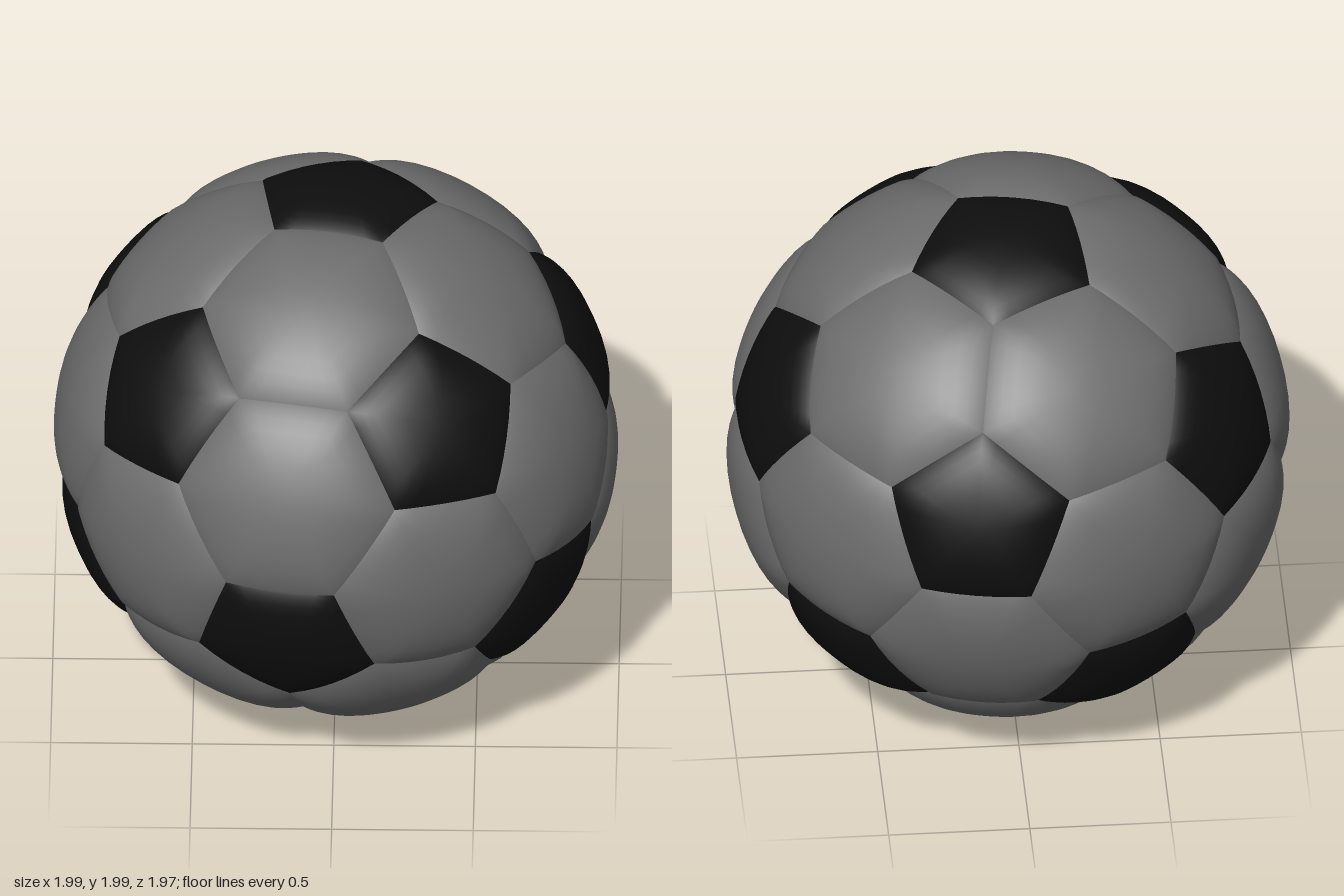
import * as THREE from 'three';

const SEAM = 0.967;  // radius at the seams
const BULGE = 0.033; // how far each panel swells above the seams
const RINGS = 8;
const SIDE_STEPS = 6;

// The twelve icosahedron corners, turned to the ball's resting attitude
function icosahedronCorners() {
  const axis = new THREE.Vector3(0.39, 0.573, 0.721).normalize();
  const side = new THREE.Vector3(-0.361, 1.8, -1.238).cross(axis).normalize();
  const up = axis.clone().cross(side);
  const frame = new THREE.Matrix4().makeBasis(side, up, axis);
  const h = 1 / Math.sqrt(5);
  const points = [new THREE.Vector3(0, 0, 1), new THREE.Vector3(0, 0, -1)];
  for (let i = 0; i < 5; i++) {
    const a = Math.PI / 2 + (i * Math.PI * 2) / 5;
    const ring = new THREE.Vector3(2 * h * Math.cos(a), 2 * h * Math.sin(a), h);
    points.push(ring, ring.clone().negate());
  }
  return points.map((p) => p.applyMatrix4(frame));
}

// Orders corners counter-clockwise as seen from outside
function sortAround(corners, centre) {
  const u = corners[0].clone().projectOnPlane(centre).normalize();
  const v = centre.clone().cross(u);
  const angle = (p) => Math.atan2(p.dot(v), p.dot(u));
  return corners.sort((a, b) => angle(a) - angle(b));
}

// A padded panel: rings growing from the centre out to the seam
function panelGeometry(centre, corners) {
  const loop = sortAround(corners, centre);
  const rim = [];
  loop.forEach((a, i) => {
    const b = loop[(i + 1) % loop.length];
    for (let s = 0; s < SIDE_STEPS; s++) {
      rim.push(a.clone().lerp(b, s / SIDE_STEPS).normalize());
    }
  });
  const n = rim.length;
  const positions = centre.clone().multiplyScalar(SEAM + BULGE).toArray();
  const index = [];
  for (let k = 1; k <= RINGS; k++) {
    const t = Math.sin((k / RINGS) * Math.PI / 2);
    const radius = SEAM + BULGE * (1 - t ** 4);
    rim.forEach((p, i) => {
      positions.push(...centre.clone().lerp(p, t).normalize().multiplyScalar(radius).toArray());
      const j = (i + 1) % n;
      const outer = 1 + (k - 1) * n;
      const inner = outer - n;
      if (k === 1) index.push(0, outer + i, outer + j);
      else index.push(inner + i, outer + i, outer + j, inner + i, outer + j, inner + j);
    });
  }
  const geometry = new THREE.BufferGeometry();
  geometry.setAttribute('position', new THREE.Float32BufferAttribute(positions, 3));
  geometry.setIndex(index);
  geometry.computeVertexNormals();
  return geometry;
}

export function createModel() {
  const grey = new THREE.MeshStandardMaterial({ color: 0x6c6c6c });
  grey.name = 'panelGrey';
  const black = new THREE.MeshStandardMaterial({ color: 0x0e0e0e });
  black.name = 'panelBlack';

  const ball = new THREE.Group();
  ball.name = 'ball';
  const points = icosahedronCorners();
  const near = (a, b) => a !== b && a.dot(b) > 0.4;
  const third = (a, b) => a.clone().multiplyScalar(2).add(b).normalize();
  const addPanel = (name, centre, corners, material) => {
    const mesh = new THREE.Mesh(panelGeometry(centre, corners), material);
    mesh.name = name;
    ball.add(mesh);
  };

  // Black pentagons on the icosahedron corners
  points.forEach((p) => {
    const corners = points.filter((q) => near(p, q)).map((q) => third(p, q));
    addPanel('pentagonPanel', p, corners, black);
  });

  // Grey hexagons on the icosahedron faces
  points.forEach((a, i) => {
    points.slice(i + 1).forEach((b, j) => {
      points.slice(i + j + 2).forEach((c) => {
        if (!near(a, b) || !near(b, c) || !near(a, c)) return;
        const centre = a.clone().add(b).add(c).normalize();
        const corners = [third(a, b), third(b, a), third(b, c), third(c, b), third(c, a), third(a, c)];
        addPanel('hexagonPanel', centre, corners, grey);
      });
    });
  });

  ball.position.y = 1;
  const model = new THREE.Group();
  model.name = 'pentagonHexagonBall';
  model.add(ball);
  return model;
}
